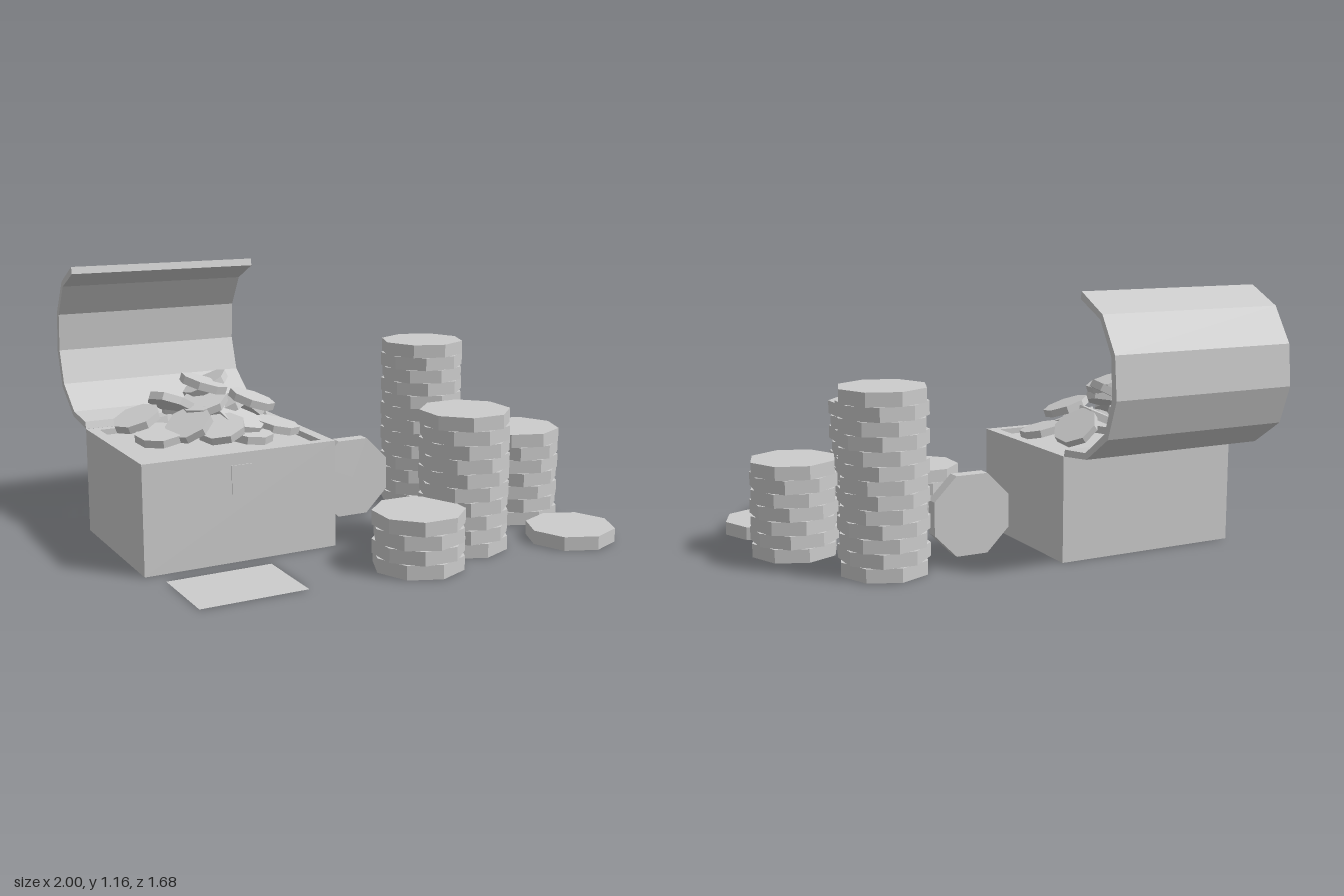
import * as THREE from 'three';
import { mergeGeometries } from 'three/addons/utils/BufferGeometryUtils.js';

const stone = new THREE.MeshStandardMaterial({ color: 0xcccccc, flatShading: true, side: THREE.DoubleSide });
stone.name = 'plain grey';

function add(parent, name, geometry, x = 0, y = 0, z = 0) {
  const mesh = new THREE.Mesh(geometry, stone);
  mesh.name = name;
  mesh.position.set(x, y, z);
  parent.add(mesh);
  return mesh;
}

// Four upright walls, open above and below, standing on y = 0
function walls(w, h, d) {
  const sides = [0, 1, 2, 3].map((i) => {
    const [width, offset] = i % 2 ? [d, w / 2] : [w, d / 2];
    return new THREE.PlaneGeometry(width, h).translate(0, h / 2, offset).rotateY((i * Math.PI) / 2);
  });
  return mergeGeometries(sides);
}

function rectangle(PathType, w, d) {
  const p = new PathType();
  p.moveTo(-w / 2, -d / 2).lineTo(w / 2, -d / 2).lineTo(w / 2, d / 2).lineTo(-w / 2, d / 2).closePath();
  return p;
}

function buildChest() {
  const chest = new THREE.Group();
  chest.name = 'chest';
  const cx = -0.573, cz = -0.093, top = 0.46, recess = 0.025;

  add(chest, 'chestWalls', walls(0.855, top, 0.705), cx, 0, cz);

  // Flat rim around a shallow tray
  const rim = rectangle(THREE.Shape, 0.855, 0.705);
  rim.holes.push(rectangle(THREE.Path, 0.76, 0.62));
  add(chest, 'chestRim', new THREE.ShapeGeometry(rim).rotateX(-Math.PI / 2), cx, top, cz);
  add(chest, 'trayWalls', walls(0.76, recess, 0.62), cx, top - recess, cz);
  add(chest, 'trayFloor', new THREE.PlaneGeometry(0.76, 0.62).rotateX(-Math.PI / 2), cx, top - recess, cz);

  add(chest, 'lockPlate', new THREE.BoxGeometry(0.09, 0.12, 0.006), cx - 0.002, 0.35, 0.261);

  // Open curved lid: (z, y) profile, outside then inside
  const profile = [
    [-0.447, 0.46], [-0.625, 0.48], [-0.782, 0.588], [-0.84, 0.75], [-0.823, 0.927], [-0.728, 1.077], [-0.572, 1.156],
    [-0.565, 1.125], [-0.713, 1.056], [-0.796, 0.92], [-0.808, 0.755], [-0.758, 0.608], [-0.616, 0.506], [-0.456, 0.491],
  ].map(([z, y]) => new THREE.Vector2(z, y));
  const lid = new THREE.ExtrudeGeometry(new THREE.Shape(profile), { depth: 0.855, bevelEnabled: false });
  add(chest, 'lid', lid.rotateY(-Math.PI / 2), -0.145, 0, 0);
  return chest;
}

function buildPile() {
  const pile = new THREE.Group();
  pile.name = 'coinPile';
  const coin = new THREE.CylinderGeometry(0.102, 0.102, 0.033, 8);
  // x, y, z, tilt about x, tilt about z, spin
  const coins = [
    [-0.6, 0.69, -0.07, 0.1, -0.3, 0.2],
    [-0.55, 0.665, -0.17, -0.1, 0.45, 0.5],
    [-0.73, 0.61, -0.115, -0.3, -0.42, 0.1],
    [-0.375, 0.6, -0.075, 0.15, -0.3, 0.3],
    [-0.34, 0.53, -0.22, -0.3, -0.65, 0.6],
    [-0.87, 0.55, -0.15, 0.1, 0.35, 0.1],
    [-0.78, 0.52, -0.22, -0.15, 0.1, 0.4],
    [-0.29, 0.49, -0.01, 0.1, -0.2, 0.2],
    [-0.46, 0.53, 0.0, 0.3, -0.25, 0.5],
    [-0.58, 0.52, 0.07, 0.25, 0.25, 0.0],
    [-0.7, 0.54, 0.01, 0.3, 0.5, 0.3],
    [-0.82, 0.5, -0.02, 0.15, 0.1, 0.6],
    [-0.63, 0.56, -0.21, -0.3, 0.1, 0.2],
    [-0.47, 0.57, -0.14, -0.1, 0.4, 0.1],
    [-0.45, 0.48, 0.06, 0.1, -0.1, 0.3],
    [-0.6, 0.61, -0.07, 0.2, 0.3, 0.4],
    [-0.6, 0.49, -0.1, 0, 0, 0],
  ];
  for (const [x, y, z, rx, rz, spin] of coins) {
    const mesh = add(pile, 'pileCoin', coin, x, y, z);
    mesh.rotation.set(rx, spin, rz, 'XZY');
  }
  return pile;
}

export function createModel() {
  const model = new THREE.Group();
  model.name = 'treasureChestAndCoins';
  model.add(buildChest(), buildPile());

  // Sheet lying in front of the chest
  add(model, 'groundSheet', new THREE.PlaneGeometry(0.455, 0.34).rotateX(-Math.PI / 2), -0.717, 0.002, 0.52);

  // Stacks of large coins, every other one turned
  const step = 0.0596;
  const coin = new THREE.CylinderGeometry(0.192, 0.192, step, 8);
  const stacks = [
    [0.03, 0.645, 4],
    [0.335, 0.51, 10],
    [0.805, 0.235, 7],
    [0.565, -0.2, 13],
    [0.805, 0.645, 1],
  ];
  for (const [x, z, count] of stacks) {
    const stack = new THREE.Group();
    stack.name = count > 1 ? 'coinStack' : 'looseCoin';
    for (let i = 0; i < count; i++) {
      const mesh = add(stack, 'coin', coin, x, step * (i + 0.5), z);
      mesh.rotation.y = count === 1 ? 0 : (i % 2) * 0.33 + 0.06 * Math.sin(i * 2.3);
    }
    model.add(stack);
  }

  // Coin standing on its edge
  const upright = add(model, 'uprightCoin', coin, 0.14, 0.178, -0.132);
  upright.rotation.set(Math.PI / 2, Math.PI / 8, 0);
  return model;
}
